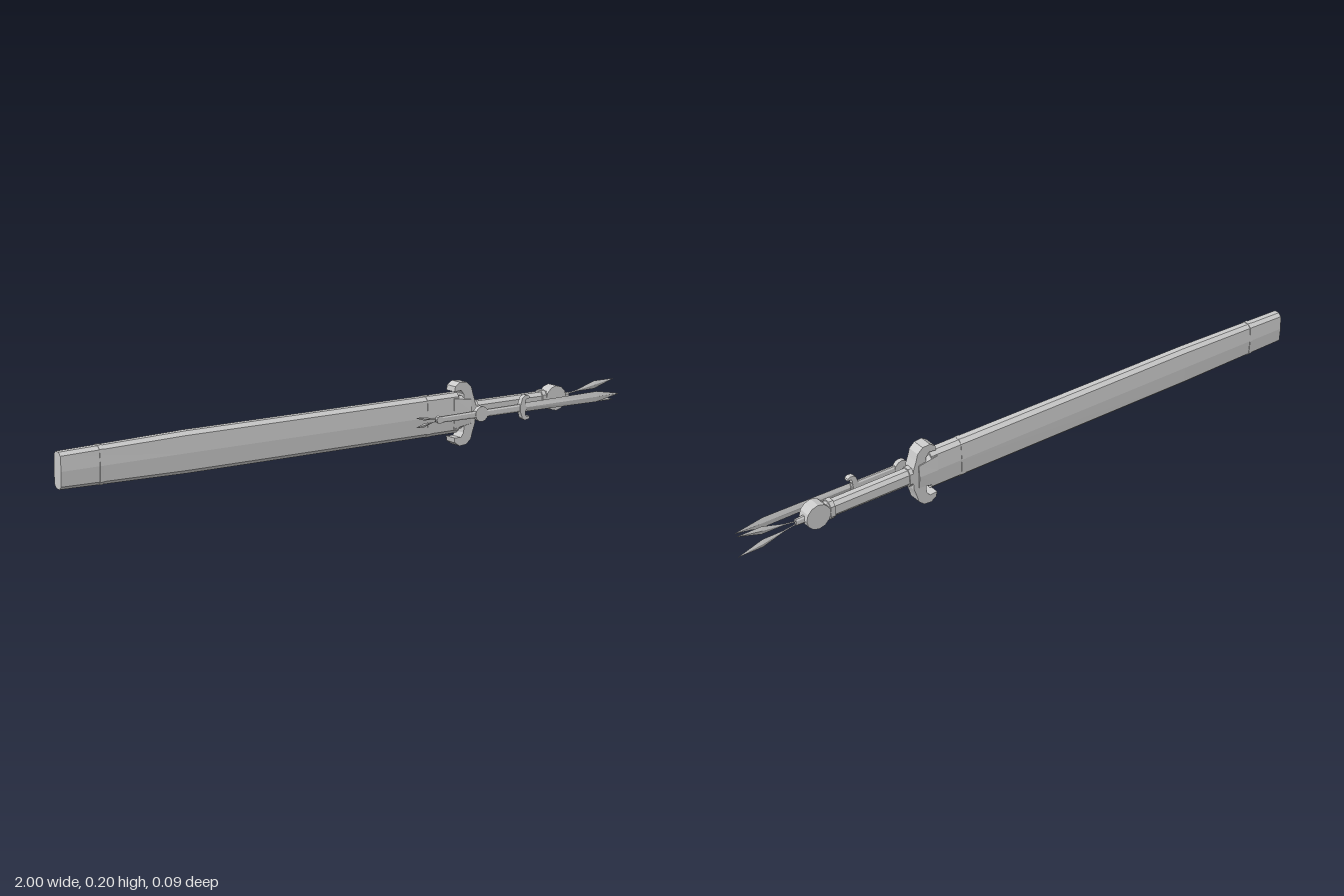
import * as THREE from 'three';

const material = new THREE.MeshStandardMaterial({ color: 0xcccccc, flatShading: true });

// Cross-section outlines as [y, z] factors, counter-clockwise seen from +x
const SHEATH = [[1, -0.4], [1, 0.4], [0.82, 0.88], [0, 1], [-0.82, 0.88], [-1, 0.4], [-1, -0.4], [-0.82, -0.88], [0, -1], [0.82, -0.88]];
const OCTAGON = [[1, -0.5], [1, 0.5], [0.55, 1], [-0.55, 1], [-1, 0.5], [-1, -0.5], [-0.55, -1], [0.55, -1]];
const DIAMOND = [[1, 0], [0, 1], [-1, 0], [0, -1]];

// Loft an outline along x; each section is [x, centreY, halfHeight, halfDepth]
function loft(name, profile, sections, z) {
  const n = profile.length, pos = [], idx = [];
  for (const [x, cy, h, d] of sections)
    for (const [py, pz] of profile) pos.push(x, cy + py * h, z + pz * d);
  for (let i = 0; i < sections.length - 1; i++)
    for (let j = 0; j < n; j++) {
      const a = i * n + j, b = i * n + (j + 1) % n;
      idx.push(a, b, b + n, a, b + n, a + n);
    }
  const last = (sections.length - 1) * n;
  for (let j = 1; j < n - 1; j++) {
    idx.push(0, j + 1, j);
    idx.push(last, last + j, last + j + 1);
  }
  let geo = new THREE.BufferGeometry();
  geo.setAttribute('position', new THREE.Float32BufferAttribute(pos, 3));
  geo.setIndex(idx);
  geo = geo.toNonIndexed();
  geo.computeVertexNormals();
  const mesh = new THREE.Mesh(geo, material);
  mesh.name = name;
  return mesh;
}

// Crescent guard with hooked tips pointing along -x
function crescentGuard(name, x, y, z, width, height, depth) {
  const half = [[-0.5, 0.72], [-0.46, 0.88], [-0.22, 1], [0.12, 0.98], [0.36, 0.82], [0.44, 0.6], [0.56, 0.35], [0.6, 0]];
  const inner = [[0.05, 0], [0.0, 0.35], [-0.02, 0.6], [-0.16, 0.74]];
  const upper = [...half, ...inner];
  const pts = [
    ...half.map(([u, v]) => [u, v]),
    ...half.slice(0, -1).reverse().map(([u, v]) => [u, -v]),
    ...inner.slice(1).reverse().map(([u, v]) => [u, -v]),
    ...inner,
  ];
  const shape = new THREE.Shape(pts.map(([u, v]) => new THREE.Vector2(u * width, v * height / 2)));
  const geo = new THREE.ExtrudeGeometry(shape, { depth, bevelEnabled: false });
  geo.translate(x, y, z - depth / 2);
  const mesh = new THREE.Mesh(geo, material);
  mesh.name = name;
  return mesh;
}

function disc(name, x, y, z, radius, depth, sides = 12) {
  const geo = new THREE.CylinderGeometry(radius, radius, depth, sides);
  geo.rotateX(Math.PI / 2);
  geo.translate(x, y, z);
  const mesh = new THREE.Mesh(geo, material);
  mesh.name = name;
  return mesh;
}

// Thin leaf-shaped tassel running from one point to another
function leaf(name, x0, y0, x1, y1, width, depth, z) {
  const stops = [[0, 0.15], [0.25, 0.2], [0.6, 1], [1, 0.03]].map(([t, w]) =>
    [x0 + (x1 - x0) * t, y0 + (y1 - y0) * t, w * width, w * depth]);
  if (x1 < x0) stops.reverse();
  return loft(name, DIAMOND, stops, z);
}

function createSword() {
  const sword = new THREE.Group();
  sword.name = 'sheathedSword';
  const z = -0.02, y = 0.105;

  // Sheath with two flush bands and a mouth collar
  sword.add(loft('sheath', SHEATH, [[-1, 0.103, 0.053, 0.022], [-0.6, 0.104, 0.062, 0.023], [0.36, 0.104, 0.063, 0.024]], z));
  sword.add(loft('tipBand', SHEATH, [[-0.88, 0.1035, 0.057, 0.024], [-0.868, 0.1035, 0.0575, 0.024]], z));
  sword.add(loft('mouthBand', SHEATH, [[0.24, 0.104, 0.064, 0.025], [0.255, 0.104, 0.064, 0.025]], z));
  sword.add(loft('mouthCollar', SHEATH, [[0.34, 0.104, 0.058, 0.026], [0.405, 0.104, 0.045, 0.026]], z));

  sword.add(crescentGuard('guard', 0.38, 0.1, z, 0.075, 0.2, 0.042));

  // Grip with end collars
  sword.add(loft('grip', OCTAGON, [[0.4, y, 0.026, 0.018], [0.72, y, 0.025, 0.018]], z));
  for (const [x, w] of [[0.415, 0.02], [0.69, 0.015]])
    sword.add(loft('gripCollar', OCTAGON, [[x, y, 0.03, 0.021], [x + w, y, 0.03, 0.021]], z));

  // Round pommel, its end stud and two tassels
  sword.add(disc('pommel', 0.745, 0.106, z, 0.04, 0.04));
  sword.add(loft('pommelStud', OCTAGON, [[0.775, y, 0.012, 0.008], [0.81, y, 0.01, 0.006]], z));
  sword.add(leaf('upperTassel', 0.8, 0.108, 1.0, 0.138, 0.013, 0.004, z - 0.003));
  sword.add(leaf('lowerTassel', 0.8, 0.102, 1.0, 0.069, 0.013, 0.004, z - 0.003));
  return sword;
}

function createDagger() {
  const dagger = new THREE.Group();
  dagger.name = 'dagger';
  const z = 0.038, y = 0.102;

  // Slim blade
  dagger.add(loft('daggerBlade', DIAMOND, [[0.58, y, 0.014, 0.004], [0.88, y, 0.017, 0.003], [0.97, y, 0.001, 0.0005]], z));

  // Crescent guard opening towards the blade
  const guard = crescentGuard('daggerGuard', 0, 0, 0, 0.034, 0.078, 0.016);
  guard.rotation.y = Math.PI;
  guard.position.set(0.585, y, z);
  dagger.add(guard);

  // Grip, middle ring and end knob
  dagger.add(loft('daggerGrip', OCTAGON, [[0.25, y, 0.009, 0.005], [0.41, y, 0.011, 0.006], [0.59, y, 0.012, 0.006]], z));
  dagger.add(disc('daggerRing', 0.415, y, z, 0.024, 0.015));
  dagger.add(disc('daggerKnob', 0.257, y, z, 0.012, 0.012, 8));

  // Tassels
  for (const s of [1, -1])
    dagger.add(leaf('daggerTassel', 0.25, y + s * 0.003, 0.17, y + s * 0.015, 0.006, 0.002, z));
  return dagger;
}

export function createModel() {
  const model = new THREE.Group();
  model.name = 'swordAndDagger';
  model.add(createSword(), createDagger());
  return model;
}
